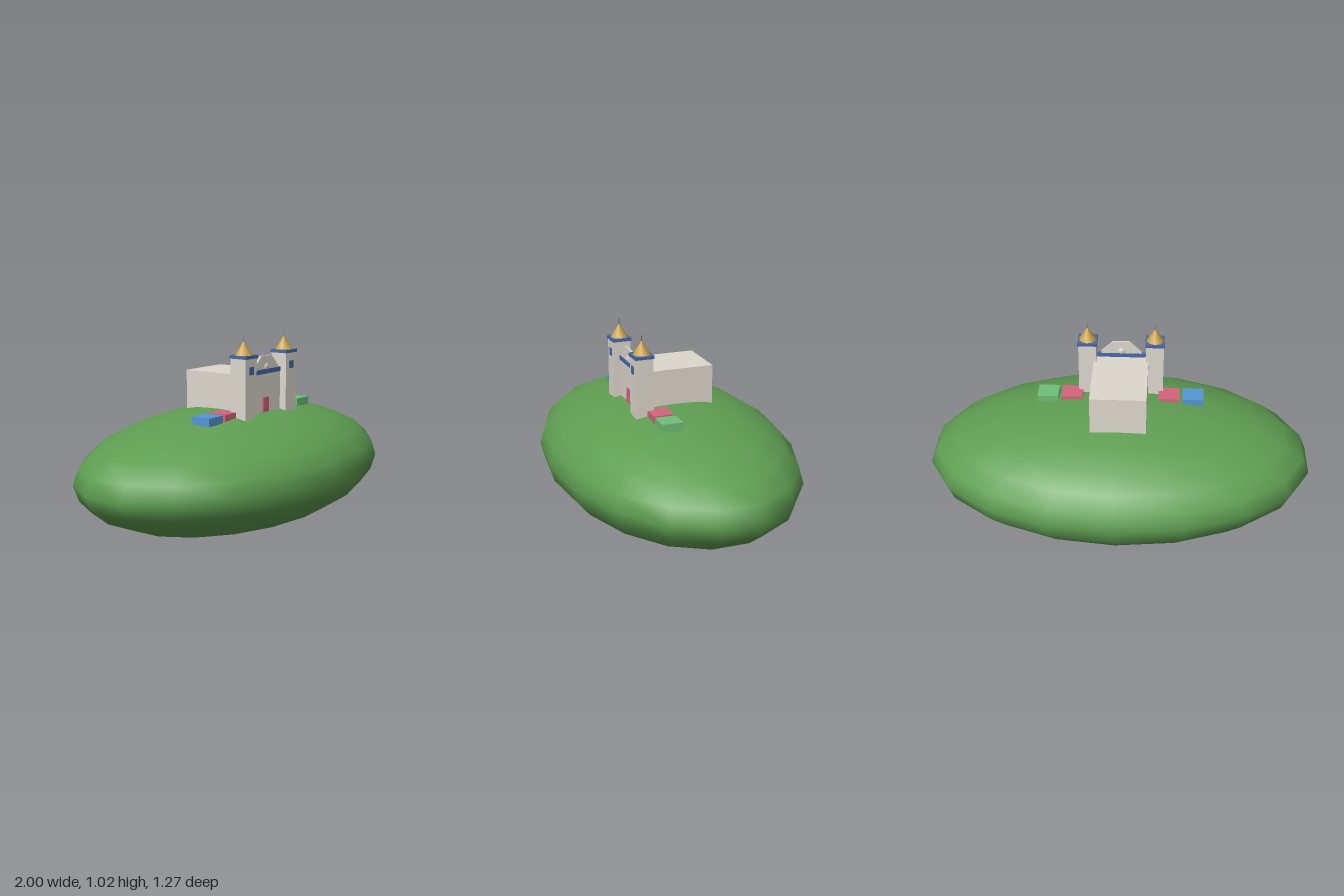
import * as THREE from 'three';

const mat = (name, color) => {
  const m = new THREE.MeshStandardMaterial({ color });
  m.name = name;
  return m;
};

export function createModel() {
  const model = new THREE.Group();
  model.name = 'hilltopChurch';
  const grass = mat('grass green', 0x5f9e52);
  const stone = mat('pale stone', 0xded8ce);
  const trim = mat('trim blue', 0x4868a8);
  const gold = mat('gold', 0xc8a045);
  const red = mat('rose red', 0xd4647c);
  const blue = mat('stall blue', 0x5596d4);
  const green = mat('stall green', 0x6fbe78);
  const iron = mat('spire grey', 0x77736c);

  const add = (parent, name, geo, material, x, y, z) => {
    const mesh = new THREE.Mesh(geo, material);
    mesh.name = name;
    mesh.position.set(x, y, z);
    parent.add(mesh);
    return mesh;
  };
  // Box given by its centre in x and z and its bottom and top heights
  const box = (parent, name, material, w, d, x, z, y0, y1) =>
    add(parent, name, new THREE.BoxGeometry(w, y1 - y0, d), material, x, (y0 + y1) / 2, z);

  // Rounded hill: a squashed sphere with a vertex on the z axis
  const hill = add(model, 'hill', new THREE.SphereGeometry(1, 18, 12, Math.PI / 2), grass, 0, 0.317, 0);
  hill.scale.set(1.015, 0.317, 0.633);

  // Main hall and facade
  box(model, 'hall', stone, 0.286, 0.405, 0, -0.0025, 0.56, 0.814);
  box(model, 'facadeBand', trim, 0.25, 0.014, 0, 0.2, 0.812, 0.836);
  box(model, 'door', red, 0.05, 0.006, 0, 0.203, 0.6, 0.69);

  // Gable with sloped shoulders
  const outline = new THREE.Shape([
    [-0.105, 0.836], [0.105, 0.836], [0.105, 0.847], [0.045, 0.905], [-0.045, 0.905], [-0.105, 0.847],
  ].map(([x, y]) => new THREE.Vector2(x, y)));
  add(model, 'gable', new THREE.ExtrudeGeometry(outline, { depth: 0.01, bevelEnabled: false }), stone, 0, 0, 0.195);
  const boss = add(model, 'gableBoss', new THREE.SphereGeometry(0.02, 12, 8), stone, 0, 0.848, 0.2);
  boss.scale.z = 0.6;

  for (const side of [-1, 1]) {
    // Bell tower
    const tower = new THREE.Group();
    tower.name = side > 0 ? 'leftTower' : 'rightTower';
    tower.position.set(side * 0.176, 0, 0.191);
    model.add(tower);
    box(tower, 'towerShaft', stone, 0.093, 0.093, 0, 0, 0.57, 0.906);
    box(tower, 'towerCornice', trim, 0.101, 0.101, 0, 0, 0.906, 0.922);
    box(tower, 'towerWindow', trim, 0.034, 0.006, 0, 0.047, 0.825, 0.865);
    add(tower, 'towerRoof', new THREE.ConeGeometry(0.045, 0.07, 10), gold, 0, 0.957, 0);
    add(tower, 'towerSpire', new THREE.CylinderGeometry(0.002, 0.002, 0.035, 6), iron, 0, 1.001, 0);

    // Market stalls beside the church
    box(model, 'innerStall', red, 0.11, 0.108, side * 0.255, 0.124, 0.595, 0.637);
    box(model, 'outerStall', side > 0 ? green : blue, 0.11, 0.108, side * 0.383, 0.124, 0.595, 0.637);
  }
  return model;
}
